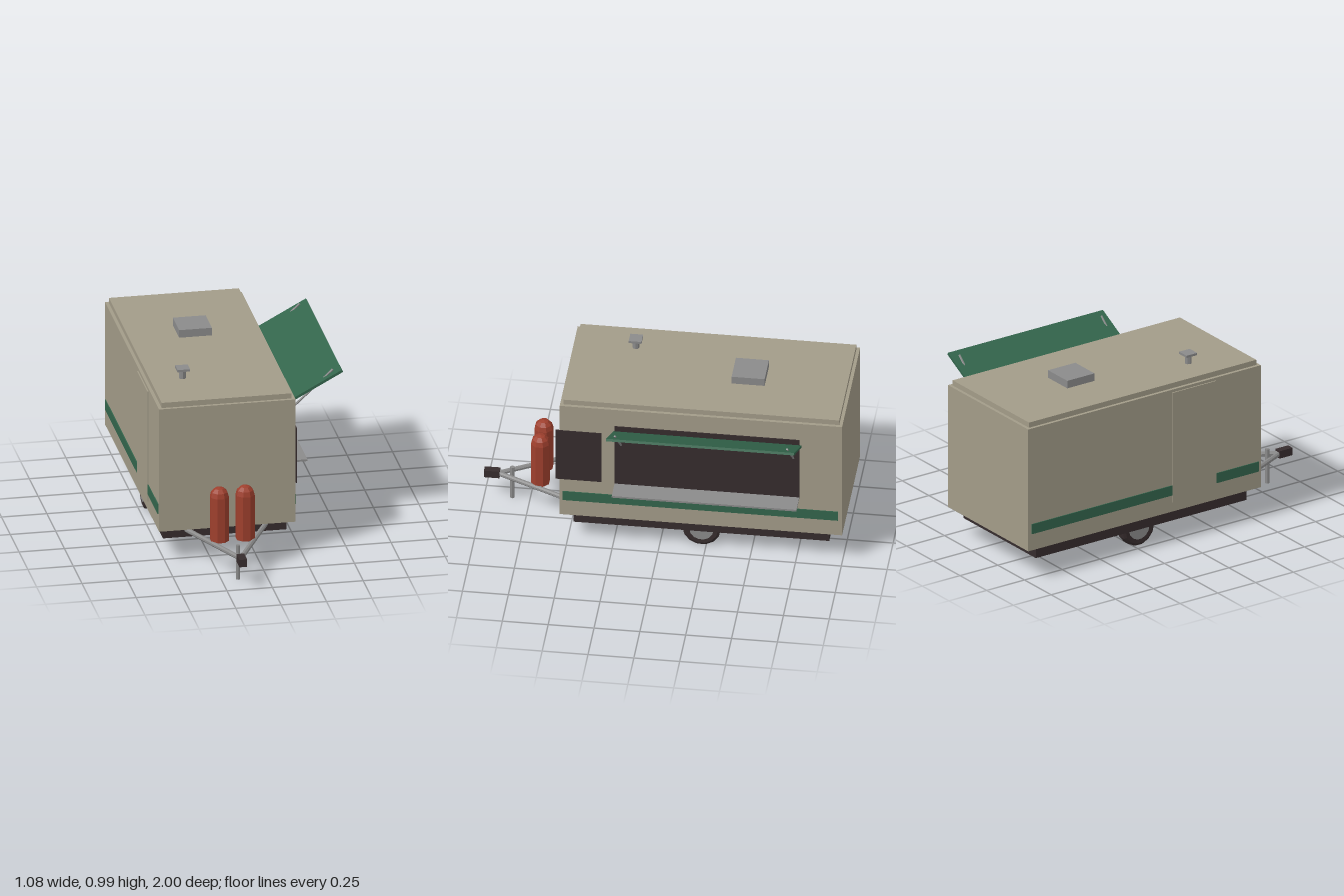
import * as THREE from 'three';

const mat = (name, color, extra = {}) => {
  const m = new THREE.MeshStandardMaterial({ color, ...extra });
  m.name = name;
  return m;
};

export function createModel() {
  const root = new THREE.Group();
  root.name = 'foodTrailer';
  const cream = mat('cream', 0xa29b88);
  const green = mat('green', 0x33654c);
  const dark = mat('dark', 0x362c2d, { flatShading: true });
  const grey = mat('grey', 0x8a8a8a, { flatShading: true });
  const red = mat('red', 0x9e3f2d, { flatShading: true });
  const CX = -0.16; // trailer centre line

  const add = (name, geo, material, x = 0, y = 0, z = 0) => {
    const m = new THREE.Mesh(geo, material);
    m.name = name;
    m.position.set(x, y, z);
    root.add(m);
    return m;
  };
  // box given by its limits on each axis
  const box = (name, material, x0, x1, y0, y1, z0, z1) =>
    add(name, new THREE.BoxGeometry(x1 - x0, y1 - y0, z1 - z0), material,
      (x0 + x1) / 2, (y0 + y1) / 2, (z0 + z1) / 2);
  // straight round bar between two points
  const bar = (name, material, a, b, r, sides = 8) => {
    const p = new THREE.Vector3(...a), q = new THREE.Vector3(...b);
    const d = q.clone().sub(p);
    const m = add(name, new THREE.CylinderGeometry(r, r, d.length(), sides), material);
    m.position.copy(p).add(q).multiplyScalar(0.5);
    m.quaternion.setFromUnitVectors(new THREE.Vector3(0, 1, 0), d.normalize());
    return m;
  };

  // Cabin, roof and chassis
  box('cabin', cream, -0.535, 0.217, 0.18, 0.896, -1, 0.54);
  box('roof', cream, -0.517, 0.199, 0.896, 0.926, -0.982, 0.522);
  box('chassis', dark, -0.5, 0.18, 0.11, 0.18, -0.925, 0.47);

  // Side stripes and door
  box('leftStripe', green, 0.216, 0.221, 0.277, 0.335, -0.977, 0.523);
  box('rightStripe', green, -0.54, -0.534, 0.277, 0.335, -0.977, 0.523);
  box('door', cream, -0.542, -0.534, 0.236, 0.88, -0.05, 0.24);

  // Serving side: hatch, window, counter
  box('servingHatch', dark, 0.215, 0.222, 0.412, 0.79, -0.767, 0.24);
  box('sideWindow', dark, 0.215, 0.221, 0.415, 0.736, 0.312, 0.562);
  box('counter', grey, 0.216, 0.34, 0.402, 0.413, -0.767, 0.24);

  // Raised awning with two struts
  const dx = 0.31, dy = 0.167;
  const awning = add('awning', new THREE.BoxGeometry(Math.hypot(dx, dy), 0.014, 1.025), green,
    0.377, 0.834, -0.267);
  awning.rotation.z = Math.atan2(dy, dx);
  for (const z of [-0.735, 0.205])
    bar('awningStrut', grey, [0.217, 0.666, z], [0.486, 0.914, z], 0.006, 6);

  // Roof vent and chimney
  box('roofVent', grey, -0.25, -0.07, 0.925, 0.97, -0.54, -0.36);
  bar('chimneyPipe', grey, [-0.34, 0.92, 0.197], [-0.34, 0.976, 0.197], 0.019);
  box('chimneyCap', grey, -0.374, -0.304, 0.975, 0.988, 0.162, 0.232);

  // Wheels with hubs
  const tyreProfile = [[0.065, -0.03], [0.09, -0.032], [0.104, -0.024], [0.105, 0],
    [0.104, 0.024], [0.09, 0.032], [0.065, 0.03], [0.065, -0.03]]
    .map(p => new THREE.Vector2(...p));
  const tyreGeo = new THREE.LatheGeometry(tyreProfile, 14);
  for (const s of [-1, 1]) {
    const x = CX + s * 0.287;
    add('tyre', tyreGeo, dark, x, 0.108, -0.225).rotation.z = Math.PI / 2;
    add('hub', new THREE.CylinderGeometry(0.066, 0.066, 0.068, 14), grey, x, 0.108, -0.225)
      .rotation.z = Math.PI / 2;
  }

  // Drawbar, coupler and jack leg
  for (const s of [-1, 1])
    bar('drawbar', grey, [CX + s * 0.218, 0.166, 0.505], [CX, 0.152, 0.925], 0.014);
  box('coupler', dark, CX - 0.021, CX + 0.021, 0.132, 0.175, 0.915, 1);
  bar('jackLeg', grey, [CX, 0, 0.847], [CX, 0.2, 0.847], 0.012);

  // Gas bottles
  const bottleProfile = [[0, 0.168], [0.053, 0.168], [0.053, 0.425], [0.045, 0.452],
    [0.026, 0.471], [0, 0.478]].map(p => new THREE.Vector2(...p));
  for (const s of [-1, 1])
    add('gasBottle', new THREE.LatheGeometry(bottleProfile, 8), red, CX + s * 0.071, 0, 0.685)
      .rotation.y = Math.PI / 8;

  return root;
}
